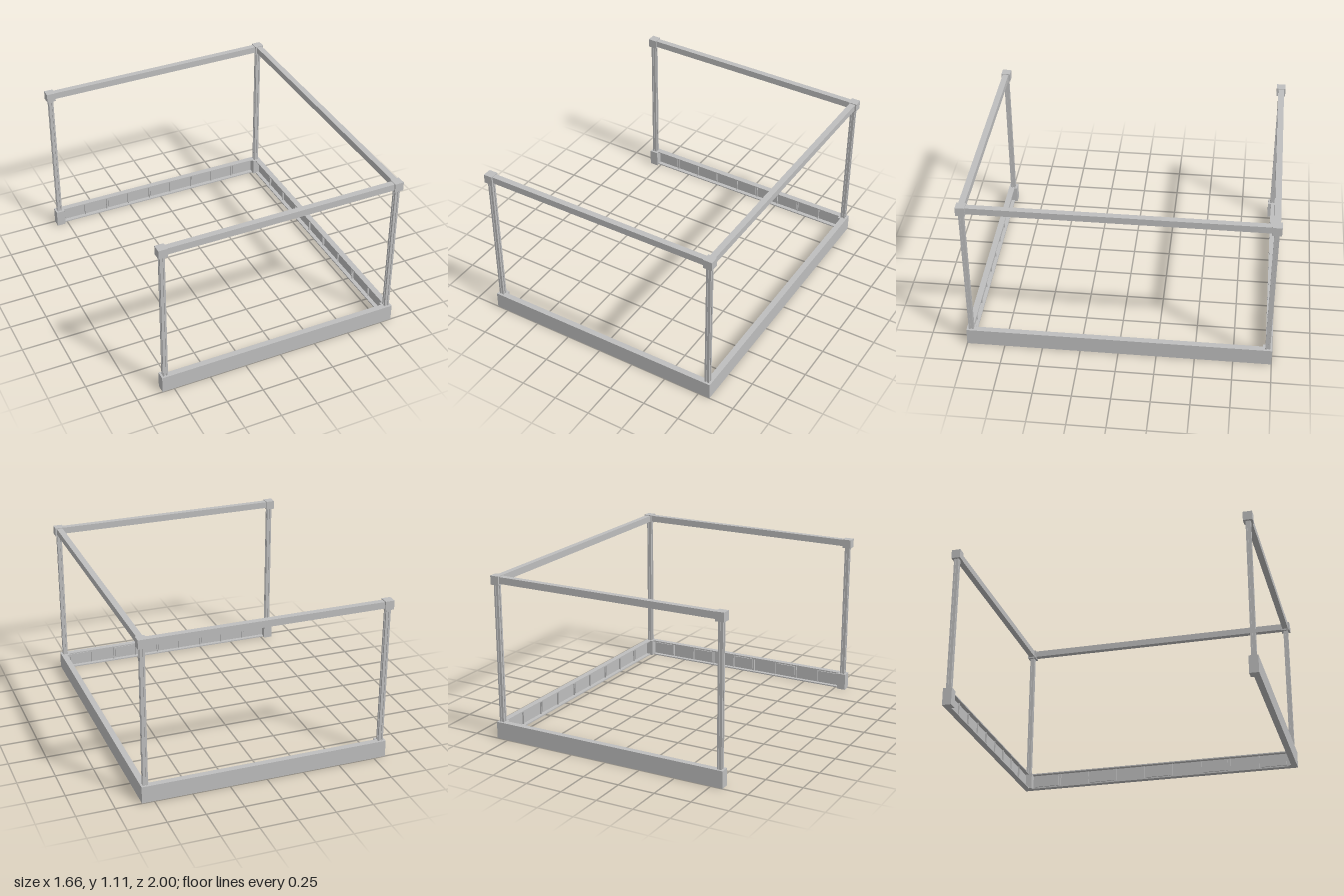
import * as THREE from 'three';

const W = 0.83, D = 1.0, H = 1.11;   // half width, half depth, height
const CAP = 0.06, BASE = 0.115;      // corner block size, base height

export function createModel() {
  const model = new THREE.Group();
  model.name = 'openFrame';
  const grey = new THREE.MeshStandardMaterial({ color: 0xbebebe });
  grey.name = 'lightGrey';

  const box = (parent, name, sx, sy, sz, x, y, z) => {
    const m = new THREE.Mesh(new THREE.BoxGeometry(sx, sy, sz), grey);
    m.name = name;
    m.position.set(x, y, z);
    parent.add(m);
    return m;
  };

  // Post section: square with a shallow slot in each side
  const h = 0.016, s = 0.004, d = 0.005;
  const pts = [];
  for (let i = 0; i < 4; i++) {
    const c = Math.round(Math.cos(i * Math.PI / 2)), n = Math.round(Math.sin(i * Math.PI / 2));
    for (const [x, y] of [[h, -h], [h, -s], [h - d, -s], [h - d, s], [h, s]]) {
      pts.push(new THREE.Vector2(x * c - y * n, x * n + y * c));
    }
  }
  const postGeo = new THREE.ExtrudeGeometry(new THREE.Shape(pts), { depth: H - CAP - BASE, bevelEnabled: false });
  postGeo.rotateX(-Math.PI / 2);

  // Four corners: base block, slotted post and cap
  for (const sx of [-1, 1]) {
    for (const sz of [-1, 1]) {
      const corner = new THREE.Group();
      corner.name = 'corner';
      corner.position.set(sx * (W - CAP / 2), 0, sz * (D - CAP / 2));
      box(corner, 'baseBlock', CAP, BASE, CAP, 0, BASE / 2, 0);
      box(corner, 'cap', CAP, CAP, CAP, 0, H - CAP / 2, 0);
      const post = new THREE.Mesh(postGeo, grey);
      post.name = 'post';
      post.position.y = BASE;
      corner.add(post);
      model.add(corner);
    }
  }

  // One side: top rail and a channel-shaped base beam, outer face at local z = 0
  const addSide = (name, length, offset, angle) => {
    const side = new THREE.Group();
    side.name = name;
    const L = length - 2 * CAP;
    box(side, 'topRail', L, 0.045, 0.04, 0, 1.0825, -0.03);
    box(side, 'beamPlate', L, BASE, 0.012, 0, BASE / 2, -0.006);
    for (const y of [0.004, BASE - 0.004]) box(side, 'beamLip', L, 0.008, 0.04, 0, y, -0.02);
    // Ribs and raised panels inside the beam
    const bays = 9, step = L / bays;
    for (let i = 0; i < bays; i++) {
      const x = -L / 2 + (i + 0.5) * step;
      if (i % 2 === 0) box(side, 'beamPanel', step * 0.85, 0.075, 0.008, x, BASE / 2, -0.016);
      if (i > 0) box(side, 'beamRib', 0.004, BASE - 0.016, 0.012, x - step / 2, BASE / 2, -0.018);
    }
    const pivot = new THREE.Group();
    pivot.name = name + 'Pivot';
    side.position.z = offset;
    pivot.rotation.y = angle;
    pivot.add(side);
    model.add(pivot);
  };
  addSide('frontSide', 2 * W, D, 0);
  addSide('backSide', 2 * W, D, Math.PI);
  addSide('leftSide', 2 * D, W, Math.PI / 2);

  return model;
}
